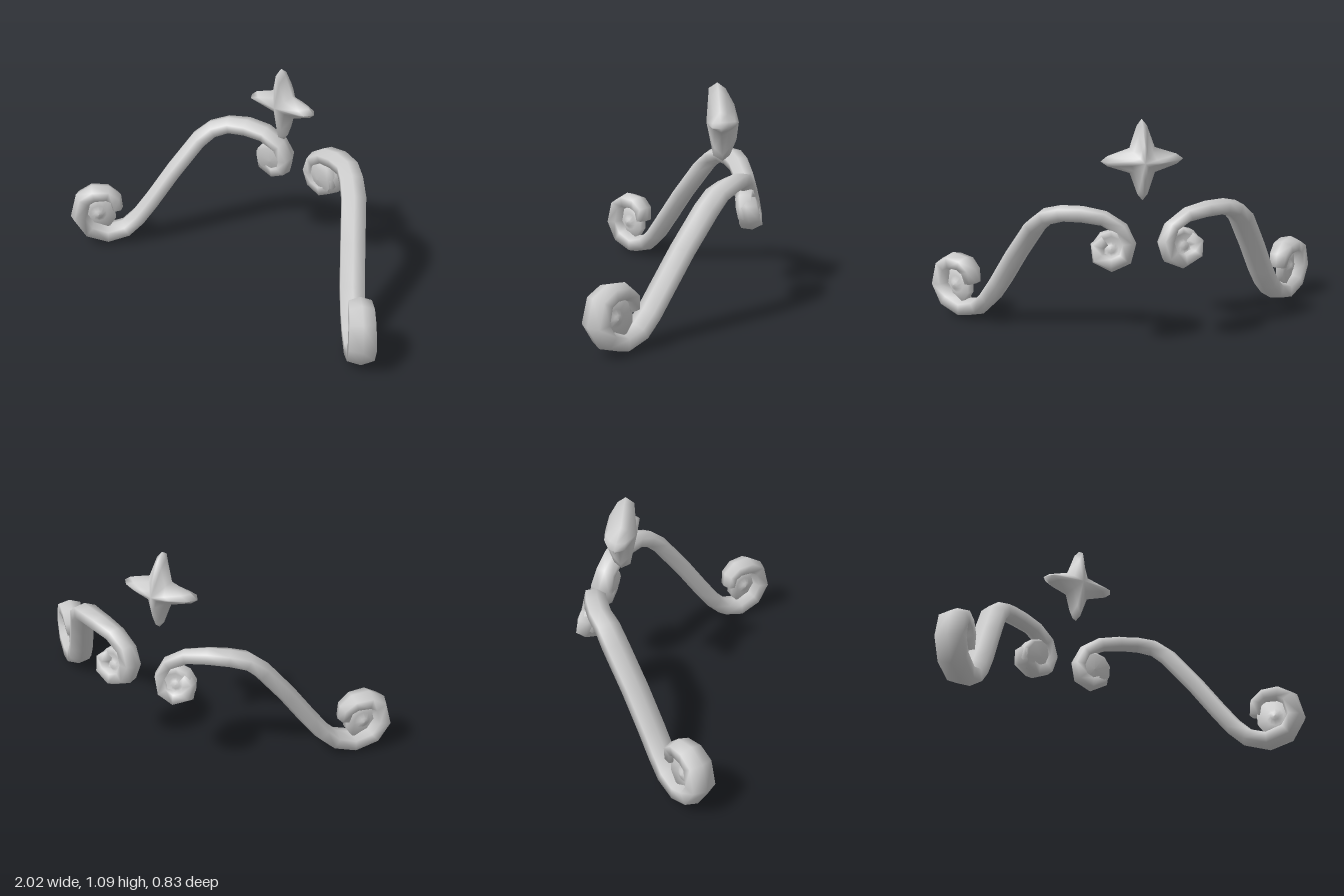
import * as THREE from 'three';
import { mergeVertices } from 'three/addons/utils/BufferGeometryUtils.js';

// Skin a list of equal-length closed rings with smooth normals, closing both ends with fans.
function loft(rings, flip) {
  const n = rings[0].length, pos = [], idx = [];
  rings.forEach(r => r.forEach(p => pos.push(p.x, p.y, p.z)));
  const tri = (a, b, c) => (flip ? idx.push(a, c, b) : idx.push(a, b, c));
  for (let i = 0; i < rings.length - 1; i++) {
    for (let j = 0; j < n; j++) {
      const a = i * n + j, b = i * n + (j + 1) % n;
      tri(a, b, a + n);
      tri(b, b + n, a + n);
    }
  }
  const last = (rings.length - 1) * n;
  for (let j = 1; j < n - 1; j++) {
    tri(0, j + 1, j);
    tri(last, last + j, last + j + 1);
  }
  const g = new THREE.BufferGeometry();
  g.setAttribute('position', new THREE.Float32BufferAttribute(pos, 3));
  g.setIndex(idx);
  const merged = mergeVertices(g);
  merged.computeVertexNormals();
  return merged;
}

// Scroll centre line from the inner curl to the outer curl: x, y, z, size.
const PATH = [
  [0.20, 0.54, -0.345, 0.8], [0.235, 0.515, -0.345, 0.9], [0.23, 0.46, -0.352, 0.95],
  [0.17, 0.43, -0.362, 1], [0.11, 0.455, -0.362, 1], [0.09, 0.52, -0.353, 0.95],
  [0.12, 0.59, -0.337, 0.9], [0.20, 0.64, -0.313, 0.93], [0.30, 0.657, -0.283, 1],
  [0.39, 0.655, -0.243, 1], [0.455, 0.63, -0.19, 1.05], [0.51, 0.57, -0.14, 1.1],
  [0.595, 0.40, -0.03, 1.1], [0.67, 0.235, 0.065, 1.1], [0.72, 0.14, 0.12, 1.1],
  [0.77, 0.075, 0.17, 1.12], [0.84, 0.047, 0.24, 1.15], [0.91, 0.082, 0.308, 1.2],
  [0.943, 0.16, 0.343, 1.2], [0.925, 0.257, 0.325, 1.15], [0.89, 0.287, 0.285, 1.1],
  [0.84, 0.283, 0.23, 1], [0.812, 0.25, 0.2, 0.9], [0.805, 0.19, 0.195, 0.75],
];
// Six-sided section, ridged on the top and underside: thickness, width.
const SECTION = [[0.04, 0], [0.024, 0.053], [-0.024, 0.053], [-0.04, 0], [-0.024, -0.053], [0.024, -0.053]];

function scrollGeometry(side) {
  const pts = PATH.map(p => new THREE.Vector3(p[0], p[1], p[2]));
  const rings = pts.map((p, i) => {
    const t = pts[Math.min(i + 1, pts.length - 1)].clone().sub(pts[Math.max(i - 1, 0)]).normalize();
    // The inner curl leans back; the outer one stands upright at an angle.
    const turn = THREE.MathUtils.smoothstep(p.x, 0.2, 0.55);
    const a = THREE.MathUtils.degToRad(13 + 35 * turn);
    const b = new THREE.Vector3(-Math.sin(a), -0.22 * (1 - turn), Math.cos(a)).normalize();
    const n = b.clone().cross(t).normalize();
    return SECTION.map(([h, w]) => {
      const v = p.clone().addScaledVector(n, h * PATH[i][3]).addScaledVector(b, w * PATH[i][3]);
      v.x *= side;
      return v;
    });
  });
  return loft(rings, side < 0);
}

// Round fillings of the two curls: radius, height along the curl's axis.
const INNER_CORE = [[0, -0.03], [0.02, -0.028], [0.035, -0.018], [0.06, -0.035], [0.085, -0.035],
  [0.095, 0.02], [0.08, 0.045], [0, 0.05]];
const OUTER_CORE = [[0, -0.035], [0.022, -0.03], [0.045, -0.014], [0.095, -0.02],
  [0.095, 0.02], [0.045, 0.014], [0.022, 0.03], [0, 0.035]];

function coreGeometry(profile, lean, turn) {
  return new THREE.LatheGeometry(profile.map(p => new THREE.Vector2(...p)), 10)
    .rotateX(Math.PI / 2 + lean).rotateY(turn);
}

// Four-armed star, layered back to front:
// tip radius, tip z, shoulder radius, shoulder half width, valley radius, valley z.
const LAYERS = [
  [0, -0.305, 0, 0, 0, -0.305],
  [0.09, -0.288, 0.06, 0.012, 0.03, -0.285],
  [0.17, -0.25, 0.13, 0.02, 0.065, -0.25],
  [0.2, -0.212, 0.168, 0.025, 0.087, -0.215],
  [0.172, -0.168, 0.13, 0.015, 0.05, -0.182],
  [0, -0.145, 0, 0, 0, -0.145],
];

function starGeometry() {
  const rings = LAYERS.map(([tip, tz, sr, sw, valley, vz]) => {
    const ring = [];
    for (let k = 0; k < 4; k++) {
      const a = k * Math.PI / 2, c = Math.cos(a), s = Math.sin(a), d = valley * Math.SQRT1_2;
      const local = [[sr, -sw, (tz + vz) / 2], [tip, 0, tz], [sr, sw, (tz + vz) / 2], [d, d, vz]];
      for (const [u, v, z] of local) {
        const y = s * u + c * v;
        ring.push(new THREE.Vector3(c * u - s * v, 0.893 + y * 0.98, z + y * 0.07));
      }
    }
    return ring;
  });
  return loft(rings, false);
}

export function createModel() {
  const group = new THREE.Group();
  const grey = new THREE.MeshStandardMaterial({ color: 0xcccccc });
  grey.name = 'plain grey';
  const add = (geometry, name, x = 0, y = 0, z = 0) => {
    const mesh = new THREE.Mesh(geometry, grey);
    mesh.name = name;
    mesh.position.set(x, y, z);
    group.add(mesh);
  };
  for (const [side, label] of [[1, 'left'], [-1, 'right']]) {
    add(scrollGeometry(side), label + 'Scroll');
    add(coreGeometry(INNER_CORE, 0.22, -0.22 * side), label + 'InnerCurlCore', 0.17 * side, 0.5, -0.35);
    add(coreGeometry(OUTER_CORE, 0, -0.84 * side), label + 'OuterCurlCore', 0.875 * side, 0.168, 0.268);
  }
  add(starGeometry(), 'star');
  return group;
}
